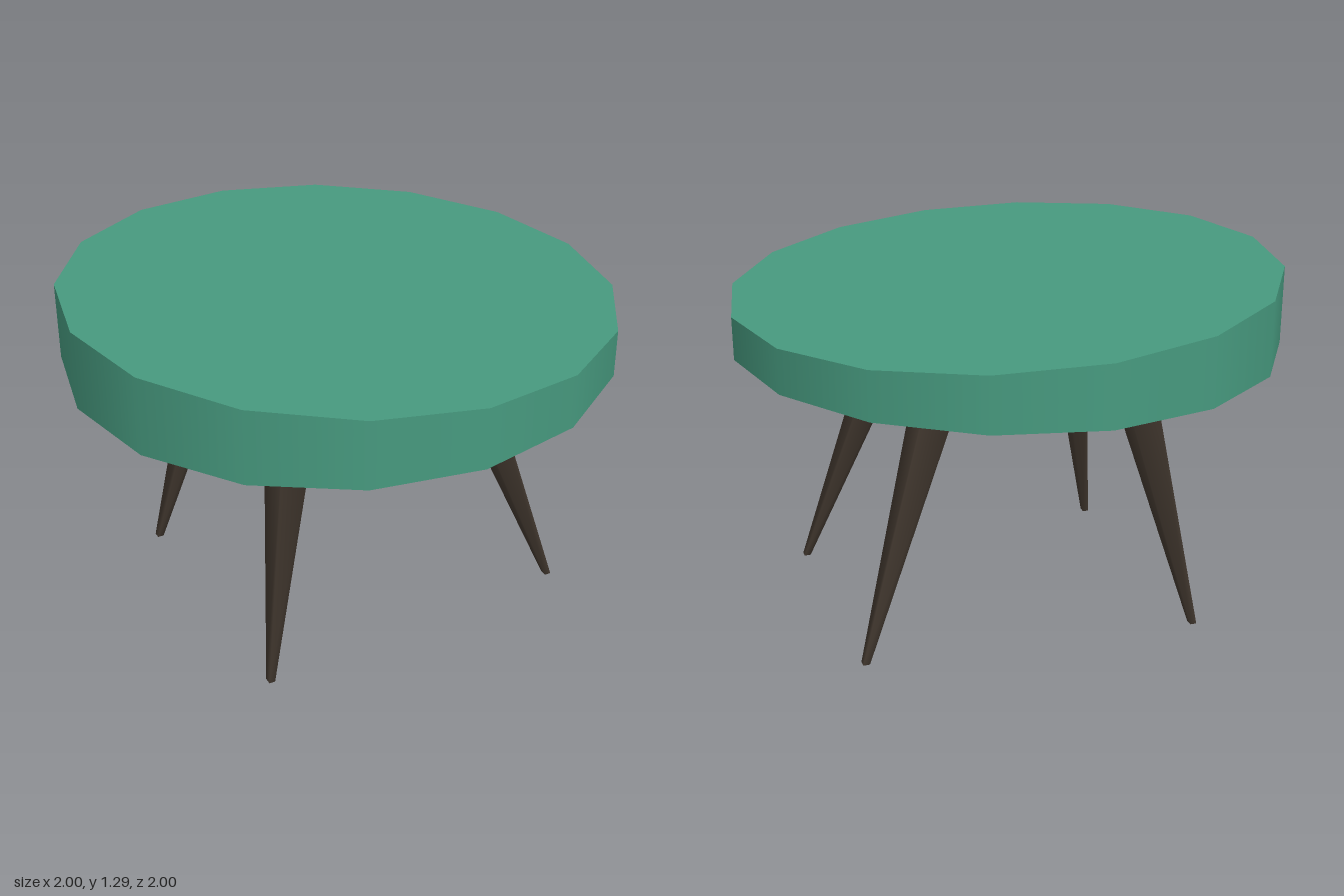
import * as THREE from 'three';

export function createModel() {
  const group = new THREE.Group();
  const green = new THREE.MeshStandardMaterial({ color: 0x479a7f });
  green.name = 'green paint';
  const wood = new THREE.MeshStandardMaterial({ color: 0x42382f });
  wood.name = 'dark wood';

  // Sixteen-sided top, thicker on the -x side
  const topGeo = new THREE.CylinderGeometry(1, 1, 1, 16);
  const pos = topGeo.attributes.position;
  for (let i = 0; i < pos.count; i++) {
    const x = pos.getX(i);
    pos.setY(i, pos.getY(i) > 0 ? 1.24 - 0.05 * x : 1.0175 + 0.0175 * x);
  }
  const top = new THREE.Mesh(topGeo, green);
  top.name = 'tableTop';
  group.add(top);

  // Four-sided tapered leg, sheared from its foot to its upper end
  function addLeg(name, foot, head, halfX, halfZ) {
    const geo = new THREE.CylinderGeometry(Math.SQRT2, Math.SQRT2 * 0.18, 1, 4);
    geo.rotateY(Math.PI / 4);
    geo.translate(0, 0.5, 0);
    const axis = new THREE.Vector3().subVectors(head, foot);
    const shear = new THREE.Matrix4().makeBasis(
      new THREE.Vector3(halfX, 0, 0), axis, new THREE.Vector3(0, 0, halfZ));
    shear.setPosition(foot);
    geo.applyMatrix4(shear);
    const leg = new THREE.Mesh(geo, wood);
    leg.name = name;
    group.add(leg);
  }

  const v = (x, y, z) => new THREE.Vector3(x, y, z);
  addLeg('frontLeftLeg', v(0.69, 0.025, 0.437), v(0.335, 1.03, 0.27), 0.066, 0.078);
  addLeg('backLeftLeg', v(0.69, 0.025, -0.467), v(0.335, 1.03, -0.3), 0.066, 0.078);
  addLeg('frontRightLeg', v(-0.537, 0, 0.493), v(-0.387, 1.03, 0.388), 0.062, 0.077);
  addLeg('backRightLeg', v(-0.537, 0, -0.55), v(-0.305, 1.03, -0.383), 0.066, 0.077);

  return group;
}
